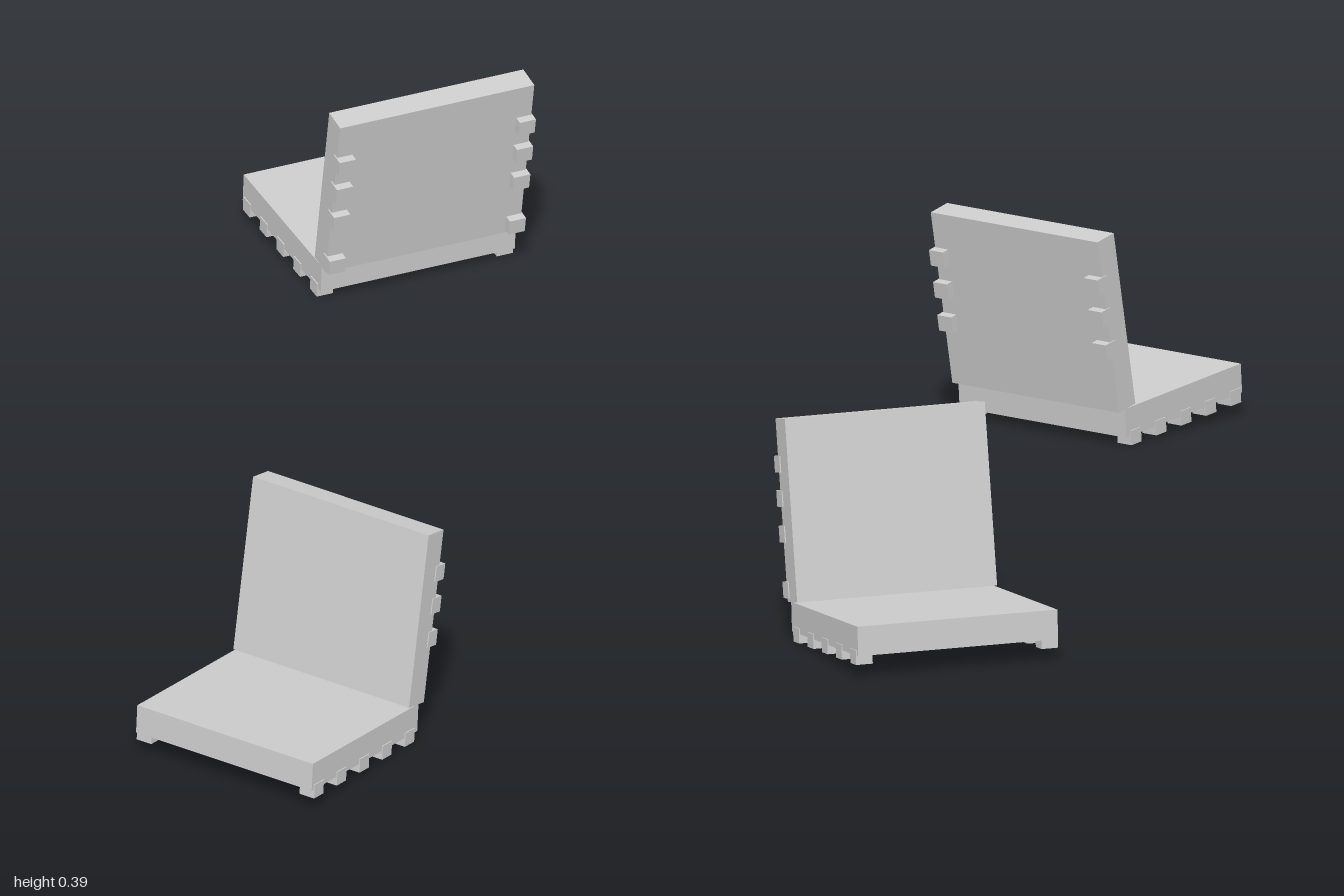
import * as THREE from 'three';

const WIDTH = 0.372;
const material = new THREE.MeshStandardMaterial({ color: 0xcccccc, flatShading: true });

function box(name, w, h, d, x, y, z) {
  const mesh = new THREE.Mesh(new THREE.BoxGeometry(w, h, d), material);
  mesh.name = name;
  mesh.position.set(x, y, z);
  return mesh;
}

// One floor chair facing +z; backTabs are heights along the backrest
function createChair(name, backTabs) {
  const chair = new THREE.Group();
  chair.name = name;

  // Seat panel rising slightly to the front, with tabs along both sides underneath
  const seat = new THREE.Group();
  seat.name = 'seat';
  seat.position.set(0, 0.016, -0.12);
  seat.rotation.x = -0.075;
  seat.add(box('seatPanel', WIDTH, 0.052, 0.321, 0, 0.026, 0.1605));

  // Backrest panel leaning back, with tabs along both sides behind
  const back = new THREE.Group();
  back.name = 'backrest';
  back.position.set(0, 0.064, -0.14);
  back.rotation.x = -0.188;
  back.add(box('backPanel', WIDTH, 0.32, 0.046, 0, 0.16, 0.023));

  for (const side of [-1, 1]) {
    const x = side * 0.1725;
    for (let i = 0; i < 5; i++) {
      seat.add(box('seatTab', 0.031, 0.026, 0.028, x, -0.003, 0.025 + i * 0.069));
    }
    for (const y of backTabs) {
      back.add(box('backTab', 0.031, 0.029, 0.026, x, y, -0.002));
    }
  }
  chair.add(seat, back);
  return chair;
}

export function createModel() {
  const model = new THREE.Group();
  model.name = 'chairPair';

  const rearChair = createChair('rearChair', [0.021, 0.118, 0.18, 0.24]);
  rearChair.position.set(0.49, 0, -0.8);
  rearChair.rotation.y = Math.PI;

  const frontChair = createChair('frontChair', [0.118, 0.18, 0.24]);
  frontChair.position.set(-0.416, 0, 0.734);
  frontChair.rotation.y = -Math.PI / 3;

  model.add(rearChair, frontChair);
  return model;
}
